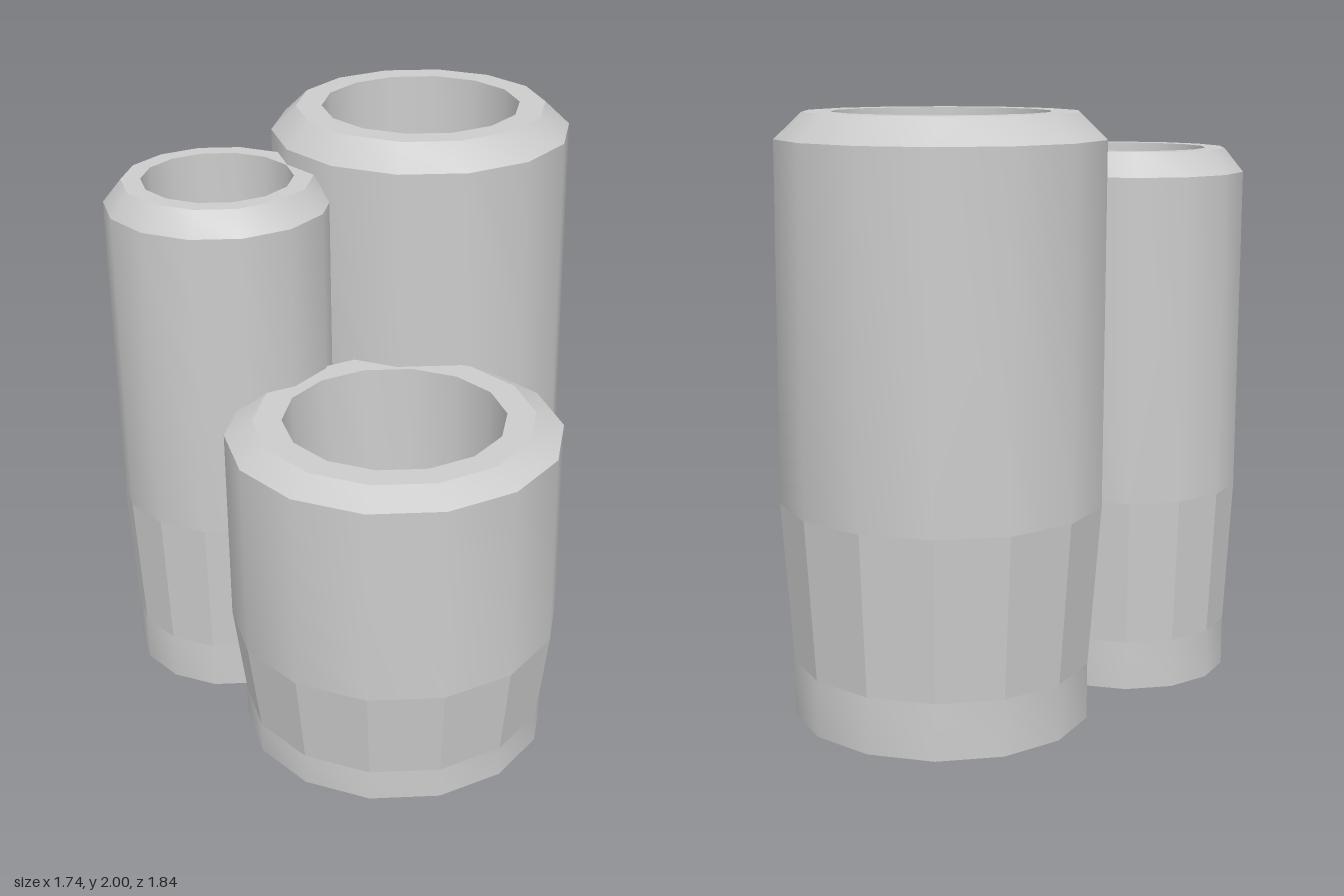
import * as THREE from 'three';
import { toCreasedNormals } from 'three/addons/utils/BufferGeometryUtils.js';

const SIDES = 14;
const smooth = new THREE.MeshStandardMaterial({ color: 0xcccccc, side: THREE.DoubleSide });
const faceted = new THREE.MeshStandardMaterial({ color: 0xcccccc, side: THREE.DoubleSide, flatShading: true });

// Turned surface from [radius, height] points, with a corner pointing to +x
function turned(name, profile, material) {
  const points = profile.map(([r, y]) => new THREE.Vector2(r, y));
  const lathe = new THREE.LatheGeometry(points, SIDES, Math.PI / 2);
  const mesh = new THREE.Mesh(toCreasedNormals(lathe, 0.46), material);
  mesh.name = name;
  return mesh;
}

// One hollow tube, open underneath, with a raised floor inside
function makeTube(t) {
  const tube = new THREE.Group();
  tube.name = t.name;
  tube.add(
    turned('footBand', [[t.foot, t.bottom], [t.foot, t.bandTop]], smooth),
    turned('taperedBase', [[t.foot, t.bandTop], [t.radius, t.taperTop]], faceted),
    turned('wall', [[t.radius, t.taperTop], [t.radius, t.shoulder]], smooth),
    turned('rim', [[t.radius, t.shoulder], [t.lip, t.top], [t.hole, t.top]], smooth),
    turned('bore', [[t.hole, t.top], [t.floor, t.floorY]], smooth)
  );
  const floor = new THREE.Mesh(new THREE.CircleGeometry(t.floor, SIDES), faceted);
  floor.name = 'floor';
  floor.rotation.x = -Math.PI / 2;
  floor.position.y = t.floorY;
  tube.add(floor);
  tube.position.set(t.x, 0, t.z);
  return tube;
}

export function createModel() {
  const model = new THREE.Group();
  model.name = 'tubeCluster';
  const tubes = [
    { name: 'tallTube', x: 0.33, z: -0.395, bottom: 0, bandTop: 0.19, taperTop: 0.73, shoulder: 1.915, top: 2,
      foot: 0.5, radius: 0.54, lip: 0.45, hole: 0.357, floor: 0.335, floorY: 0.19 },
    { name: 'slimTube', x: -0.477, z: -0.395, bottom: 0.01, bandTop: 0.18, taperTop: 0.68, shoulder: 1.78, top: 1.86,
      foot: 0.37, radius: 0.395, lip: 0.33, hole: 0.263, floor: 0.245, floorY: 0.18 },
    { name: 'shortTube', x: -0.205, z: 0.362, bottom: 0.03, bandTop: 0.14, taperTop: 0.46, shoulder: 1.155, top: 1.205,
      foot: 0.53, radius: 0.57, lip: 0.475, hole: 0.377, floor: 0.352, floorY: 0.15 },
  ];
  for (const t of tubes) model.add(makeTube(t));
  return model;
}
